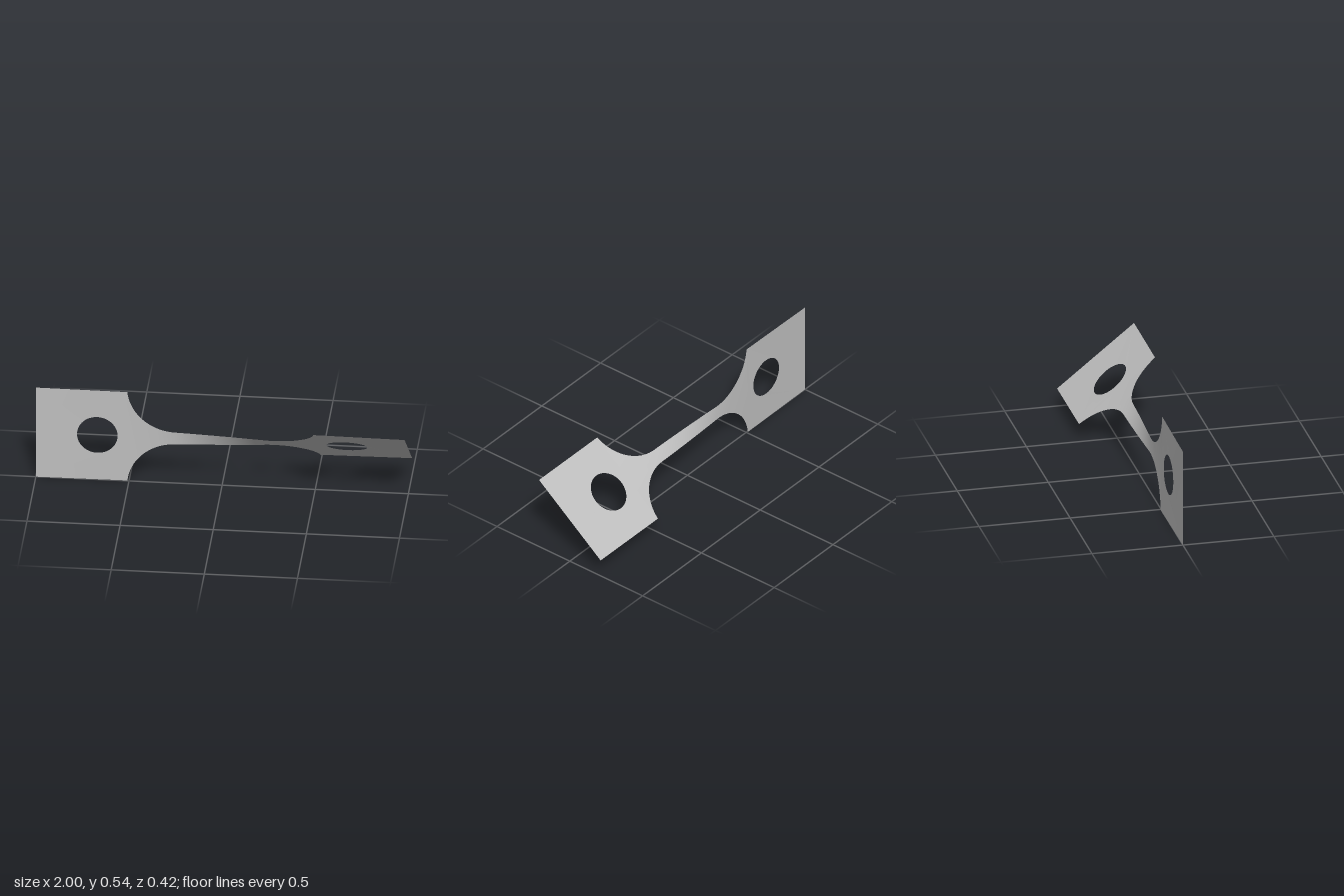
import * as THREE from 'three';

const MID_Y = 0.271;   // height of the long axis
const GRIP = 0.271;    // half width of the end plates
const GAUGE = 0.038;   // half width of the narrow strip
const SHOULDER = 0.51; // x where the plates meet the fillets
const NECK = 0.25;     // x where the fillets meet the strip
const FILLET = 0.26;

// Twist angle in degrees along x: nearly all of it lies in the narrow strip
const TWIST = [[-1, 0], [-0.51, 0.9], [-0.35, 2.5], [-0.25, 6], [0.25, 45.3], [0.35, 48.8], [0.51, 50.4], [1, 51.3]];

function twistAt(x) {
  let i = 1;
  while (i < TWIST.length - 1 && x > TWIST[i][0]) i++;
  const [x0, a0] = TWIST[i - 1], [x1, a1] = TWIST[i];
  return THREE.MathUtils.degToRad(a0 + (a1 - a0) * (x - x0) / (x1 - x0));
}

// Half width of the neck, with round fillets running into the plates
function halfWidth(x) {
  const d = Math.max(0, Math.abs(x) - NECK);
  return Math.min(GRIP, GAUGE + FILLET - Math.sqrt(Math.max(0, FILLET * FILLET - d * d)));
}

// Rotate every cross-section of a flat sheet about the long axis
function twist(geometry) {
  const p = geometry.attributes.position;
  for (let i = 0; i < p.count; i++) {
    const a = twistAt(p.getX(i)), v = p.getY(i);
    p.setXYZ(i, p.getX(i), MID_Y + v * Math.cos(a), v * Math.sin(a));
  }
  geometry.computeVertexNormals();
  return geometry;
}

// Square end plate with a round hole
function gripGeometry(side) {
  const shape = new THREE.Shape();
  const a = Math.min(side, side * SHOULDER), b = Math.max(side, side * SHOULDER);
  shape.moveTo(a, -GRIP).lineTo(b, -GRIP).lineTo(b, GRIP).lineTo(a, GRIP).closePath();
  const hole = new THREE.Path();
  hole.absarc(side * 0.67, 0, 0.109, 0, Math.PI * 2, true);
  shape.holes.push(hole);
  return twist(new THREE.ShapeGeometry(shape, 32));
}

// Narrow strip with its fillets, columns packed closer toward the shoulders
function neckGeometry() {
  const geometry = new THREE.PlaneGeometry(2, 2, 100, 8);
  const p = geometry.attributes.position;
  for (let i = 0; i < p.count; i++) {
    const x = SHOULDER * Math.sin(p.getX(i) * Math.PI / 2);
    const edge = Math.abs(p.getX(i)) > 0.9999 ? GRIP : halfWidth(x);
    p.setXY(i, x, p.getY(i) * edge);
  }
  return twist(geometry);
}

export function createModel() {
  const group = new THREE.Group();
  group.name = 'twistedTestStrip';
  const metal = new THREE.MeshStandardMaterial({ color: 0xc0c0c0, side: THREE.DoubleSide });
  metal.name = 'light grey metal';
  const add = (name, geometry) => {
    const mesh = new THREE.Mesh(geometry, metal);
    mesh.name = name;
    group.add(mesh);
  };
  add('rightGrip', gripGeometry(-1));
  add('neck', neckGeometry());
  add('leftGrip', gripGeometry(1));
  return group;
}
